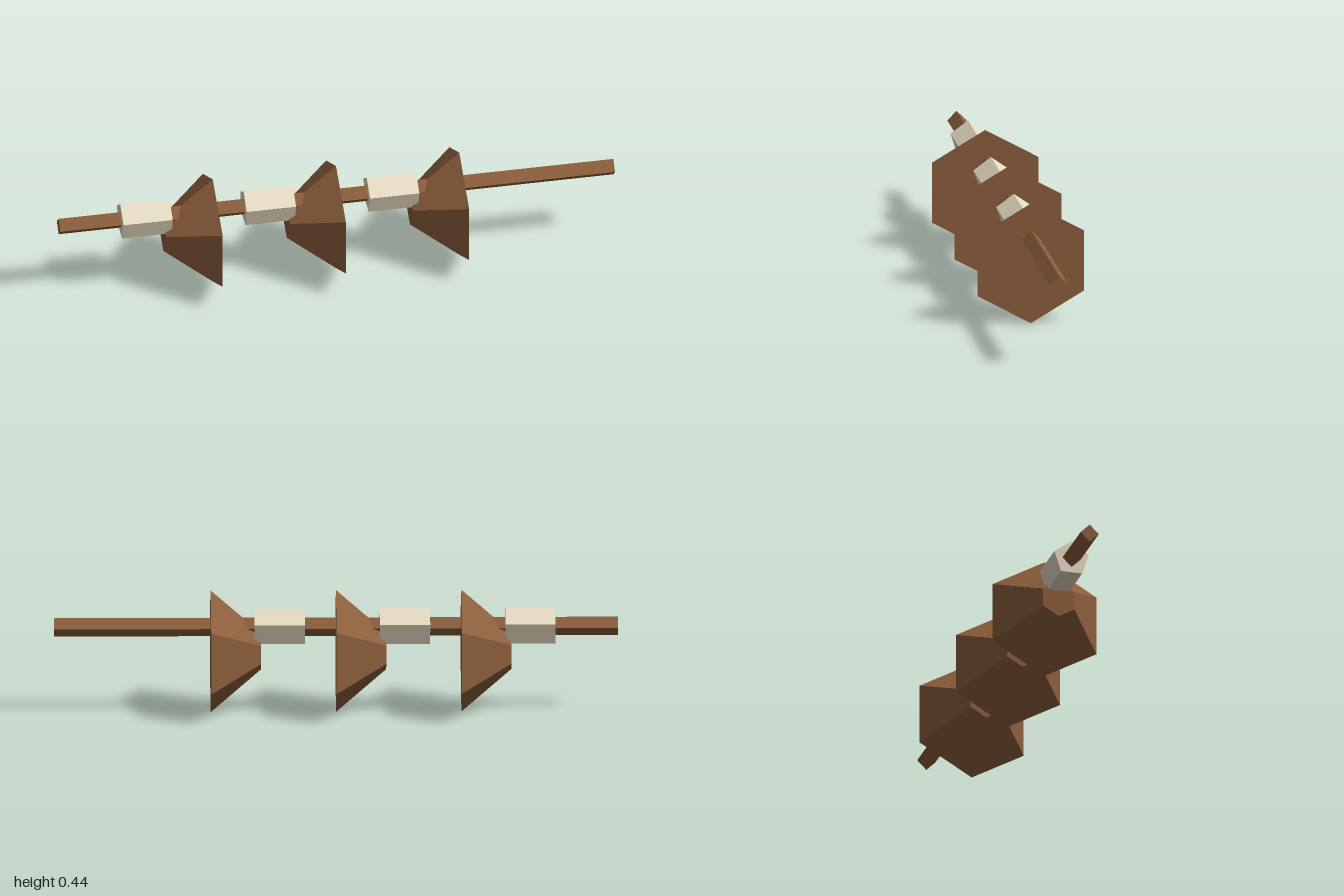
import * as THREE from 'three';

const wood = new THREE.MeshStandardMaterial({ color: 0x8b5e3c, flatShading: true });
wood.name = 'brownWood';
const ivory = new THREE.MeshStandardMaterial({ color: 0xe8dcc4, flatShading: true });
ivory.name = 'paleIvory';

// Low-poly prism or frustum lying along x, with one corner pointing up
function prismAlongX(name, rightRadius, leftRadius, length, sides, material, x, y) {
  const geometry = new THREE.CylinderGeometry(rightRadius, leftRadius, length, sides);
  geometry.rotateZ(-Math.PI / 2);
  geometry.rotateX(-Math.PI / 2);
  const mesh = new THREE.Mesh(geometry, material);
  mesh.name = name;
  mesh.position.set(x, y, 0);
  return mesh;
}

export function createModel() {
  const model = new THREE.Group();
  model.name = 'rodWithCones';
  const rodY = 0.312;
  const coneY = 0.223;

  // Long square rod
  model.add(prismAlongX('rod', 0.0335, 0.0335, 2, 4, wood, 0, rodY));

  // Three repeated pairs: pentagonal collar and flared hexagonal cone
  for (let i = 0; i < 3; i++) {
    const x = i * 0.4444;
    const unit = new THREE.Group();
    unit.name = 'coneUnit' + (i + 1);
    unit.add(
      prismAlongX('collar', 0.0667, 0.0667, 0.1778, 5, ivory, x - 0.6889, rodY),
      prismAlongX('cone', 0.2222, 0.0667, 0.1778, 6, wood, x - 0.5333, coneY)
    );
    model.add(unit);
  }
  return model;
}
